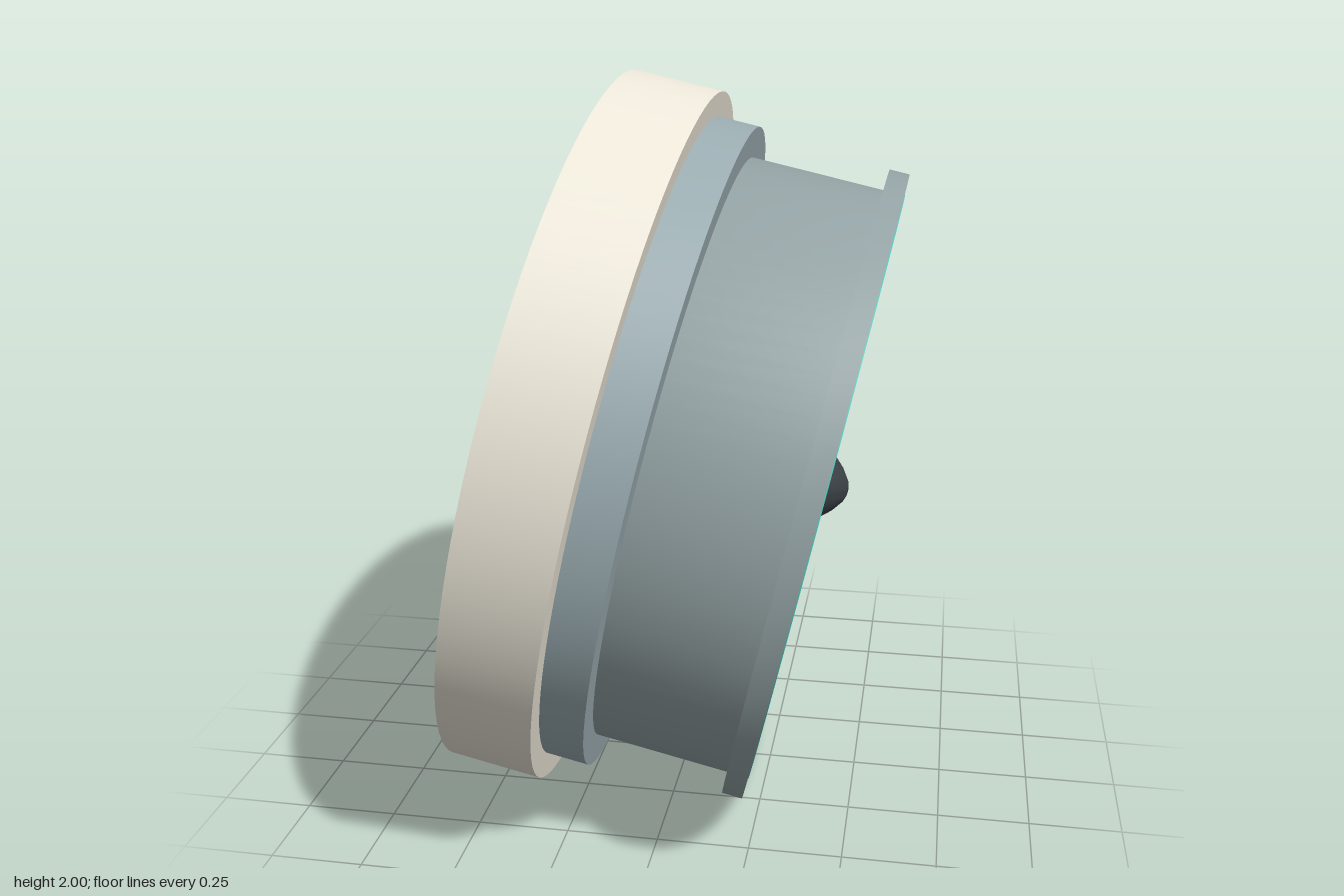
import * as THREE from 'three';
import { toCreasedNormals } from 'three/addons/utils/BufferGeometryUtils.js';

const mat = (color) => new THREE.MeshStandardMaterial({ color });
const cream = mat(0xece7d9), steel = mat(0x93a2a4), paleSteel = mat(0x9aacb1);
const teal = mat(0x48c7bb), dark = mat(0x3a4145), bladeCream = mat(0xc4beb3);
const bladeGrey = mat(0x98a2a3), wire = mat(0x7c878a);

function mesh(name, geometry, material, parent) {
  const m = new THREE.Mesh(geometry, material);
  m.name = name;
  parent.add(m);
  return m;
}

// Revolved profile of [radius, axial] points; outer side runs forward
function turned(name, profile, material, parent) {
  const points = profile.map(([r, a]) => new THREE.Vector2(r, a));
  const geometry = toCreasedNormals(new THREE.LatheGeometry(points, 96), 0.5);
  return mesh(name, geometry, material, parent);
}

// Rectangular-section hoop
function hoop(name, rIn, rOut, a0, a1, material, parent) {
  return turned(name, [[rIn, a0], [rOut, a0], [rOut, a1], [rIn, a1], [rIn, a0]], material, parent);
}

// Twisted, slightly cambered blade section from radius r0 to r1; hand = pitch sign
function bladeGeometry(r0, r1, chordLength, thickness, hand) {
  const g = new THREE.BoxGeometry(1, 1, 1, 6, 4, 1);
  const p = g.attributes.position;
  for (let i = 0; i < p.count; i++) {
    const r = r0 + (p.getX(i) + 0.5) * (r1 - r0);
    const chord = p.getY(i) * chordLength * (0.84 + 0.26 * r);
    const depth = p.getZ(i) * thickness + 0.006 * (1 - 4 * p.getY(i) ** 2);
    const pitch = hand * (0.85 + 0.3 * r);
    p.setXYZ(i, r,
      chord * Math.cos(pitch) - depth * Math.sin(pitch),
      chord * Math.sin(pitch) + depth * Math.cos(pitch));
  }
  return toCreasedNormals(g, 0.5);
}

// Calls build(holder) for n holders spread around the axis (local x = outward)
function around(n, offset, parent, build) {
  for (let i = 0; i < n; i++) {
    const holder = new THREE.Group();
    holder.rotation.y = Math.PI - offset - (i * 2 * Math.PI) / n;
    parent.add(holder);
    build(holder);
  }
}

// One ring of teal-tipped blades
function bladeRow(name, axial, hand, material, parent) {
  const row = new THREE.Group();
  row.name = name;
  row.position.y = axial;
  parent.add(row);
  const blade = bladeGeometry(0.11, 0.585, 0.1, 0.012, hand);
  const tip = bladeGeometry(0.583, 0.618, 0.106, 0.018, hand);
  around(20, 0.07, row, (holder) => {
    mesh('blade', blade, material, holder);
    mesh('bladeTip', tip, teal, holder);
  });
}

export function createModel() {
  const model = new THREE.Group();
  model.name = 'ductedFan';

  // Tilted assembly: local +y is the fan axis, starting at the rear face
  const fan = new THREE.Group();
  fan.name = 'fanAssembly';
  fan.position.set(-0.375, 1.04, 0);
  fan.rotation.z = -THREE.MathUtils.degToRad(102.6);
  model.add(fan);

  // Duct
  hoop('rearRing', 0.79, 0.984, 0, 0.246, cream, fan);
  hoop('steppedCollar', 0.8, 0.916, 0.24, 0.362, paleSteel, fan);
  turned('ductBarrel', [
    [0.735, 0.185], [0.795, 0.185], [0.832, 0.3], [0.832, 0.73], [0.889, 0.73],
    [0.889, 0.785], [0.774, 0.785], [0.735, 0.725], [0.735, 0.185],
  ], steel, fan);
  hoop('frontTrim', 0.774, 0.833, 0.775, 0.788, teal, fan);
  hoop('rearTrim', 0.782, 0.812, -0.004, 0.012, teal, fan);

  // Rear hub and pitched support vanes
  turned('rearHub', [[0, 0.17], [0.115, 0.17], [0.13, 0.19], [0.13, 0.34], [0, 0.34]], dark, fan);
  const vanes = new THREE.Group();
  vanes.name = 'supportVanes';
  fan.add(vanes);
  around(6, 0.2, vanes, (holder) => {
    const vane = mesh('supportVane', new THREE.BoxGeometry(0.63, 0.06, 0.025), paleSteel, holder);
    vane.position.set(0.425, 0.27, 0);
    vane.rotation.x = Math.PI / 4;
  });

  // Rotor hub with two blade rows of opposite pitch
  turned('rotorHub', [[0, 0.34], [0.13, 0.34], [0.13, 0.46], [0.11, 0.58], [0, 0.58]], dark, fan);
  bladeRow('rearBlades', 0.4, -1, bladeCream, fan);
  bladeRow('frontBlades', 0.49, 1, bladeGrey, fan);

  // Front guard
  const guard = new THREE.Group();
  guard.name = 'guard';
  guard.position.y = 0.735;
  fan.add(guard);
  for (const r of [0.14, 0.225, 0.345, 0.465, 0.585, 0.708]) {
    const ring = mesh('guardRing', new THREE.TorusGeometry(r, 0.008, 6, 72), wire, guard);
    ring.rotation.x = Math.PI / 2;
  }
  const spokeGeometry = new THREE.CylinderGeometry(0.007, 0.007, 0.62, 6);
  around(24, 0, guard, (holder) => {
    const spoke = mesh('guardSpoke', spokeGeometry, wire, holder);
    spoke.rotation.z = Math.PI / 2;
    spoke.position.x = 0.425;
  });

  // Blunt nose cone
  turned('noseCone', [
    [0, 0.69], [0.12, 0.69], [0.123, 0.72], [0.115, 0.753], [0.093, 0.787],
    [0.062, 0.82], [0.03, 0.843], [0.012, 0.849], [0, 0.85],
  ], dark, fan);

  return model;
}
